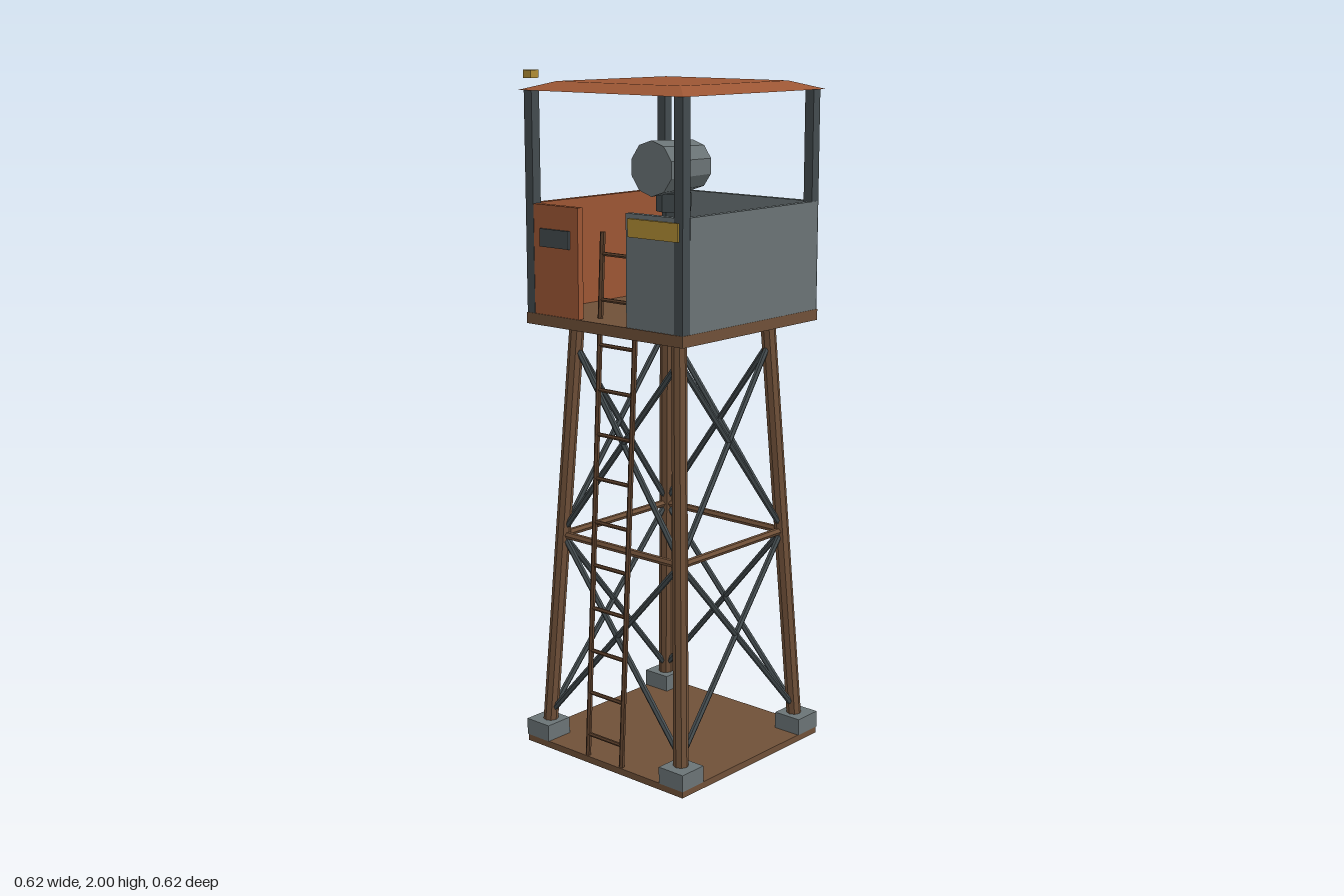
import * as THREE from 'three';

const mat = (name, color) => {
  const m = new THREE.MeshStandardMaterial({ color, flatShading: true });
  m.name = name;
  return m;
};

export function createModel() {
  const root = new THREE.Group();
  root.name = 'watchtower';
  const rust = mat('rust', 0x9c5634);
  const steel = mat('steel grey', 0x6a7375);
  const dark = mat('dark steel', 0x434b4e);
  const wood = mat('brown timber', 0x6f5038);
  const ladderWood = mat('dark brown', 0x5c402c);
  const yellow = mat('yellow', 0xb08d35);

  const group = (name) => {
    const g = new THREE.Group();
    g.name = name;
    root.add(g);
    return g;
  };
  const add = (parent, name, geometry, material) => {
    const m = new THREE.Mesh(geometry, material);
    m.name = name;
    parent.add(m);
    return m;
  };
  // Box given by its minimum and maximum on each axis
  const box = (parent, name, material, [x0, x1], [y0, y1], [z0, z1]) => {
    const m = add(parent, name, new THREE.BoxGeometry(x1 - x0, y1 - y0, z1 - z0), material);
    m.position.set((x0 + x1) / 2, (y0 + y1) / 2, (z0 + z1) / 2);
    return m;
  };
  // Round bar between two points
  const bar = (parent, name, material, a, b, r, sides = 6) => {
    const p = new THREE.Vector3(...a), q = new THREE.Vector3(...b);
    const m = add(parent, name, new THREE.CylinderGeometry(r, r, p.distanceTo(q), sides), material);
    m.position.copy(p).add(q).multiplyScalar(0.5);
    m.quaternion.setFromUnitVectors(new THREE.Vector3(0, 1, 0), q.sub(p).normalize());
    return m;
  };

  // Base slab, footings, legs
  box(root, 'baseSlab', wood, [-0.31, 0.31], [0, 0.02], [-0.31, 0.31]);
  const corners = [[-1, -1], [1, -1], [1, 1], [-1, 1]];
  const legAt = (y) => 0.263 - 0.055 * (y - 0.05);
  const legs = group('legs');
  for (const [sx, sz] of corners) {
    const f = box(legs, 'footing', steel, [-0.045, 0.045], [0.02, 0.07], [-0.045, 0.045]);
    f.position.x = sx * 0.267;
    f.position.z = sz * 0.267;
    const a = legAt(0.03), b = legAt(1.29);
    bar(legs, 'leg', wood, [sx * a, 0.03, sz * a], [sx * b, 1.29, sz * b], 0.022, 8);
  }

  // Middle beams and crossed braces on all four sides
  const frame = group('bracing');
  for (let i = 0; i < 4; i++) {
    const side = new THREE.Group();
    side.name = 'bracedSide';
    side.rotation.y = i * Math.PI / 2;
    frame.add(side);
    const m = legAt(0.65);
    bar(side, 'middleBeam', wood, [-m, 0.65, m], [m, 0.65, m], 0.011);
    for (const [y0, y1] of [[0.09, 0.65], [0.66, 1.22]]) {
      const a = legAt(y0), b = legAt(y1);
      for (const s of [-1, 1]) bar(side, 'brace', dark, [-s * a, y0, a], [s * b, y1, b], 0.009);
    }
  }

  // Leaning ladder through the front opening
  const ladder = group('ladder');
  const ladderZ = (y) => 0.302 - 0.053 * y;
  for (const s of [-1, 1]) {
    bar(ladder, 'ladderRail', ladderWood, [s * 0.067, 0.02, ladderZ(0.02)], [s * 0.067, 1.56, ladderZ(1.56)], 0.008);
  }
  for (let i = 0; i < 12; i++) {
    const y = 0.085 + i * 0.1285;
    bar(ladder, 'rung', ladderWood, [-0.067, y, ladderZ(y)], [0.067, y, ladderZ(y)], 0.006);
  }

  // Cabin floor, posts and walls
  const cabin = group('cabin');
  box(cabin, 'platform', wood, [-0.297, 0.297], [1.285, 1.317], [-0.297, 0.297]);
  for (const [sx, sz] of corners) {
    const p = box(cabin, 'cornerPost', dark, [-0.015, 0.015], [1.317, 1.947], [-0.015, 0.015]);
    p.position.x = sx * 0.28;
    p.position.z = sz * 0.28;
  }
  const wallY = [1.317, 1.63], along = [-0.266, 0.266];
  box(cabin, 'backWall', steel, [-0.29, 0.29], wallY, [-0.296, -0.276]);
  box(cabin, 'rightWall', steel, [0.276, 0.296], wallY, [-0.29, 0.266]);
  box(cabin, 'leftWall', rust, [-0.296, -0.276], wallY, along);
  box(cabin, 'frontPanelRust', rust, [-0.266, -0.092], wallY, [0.274, 0.294]);
  box(cabin, 'frontPanelGrey', steel, [0.09, 0.266], wallY, [0.274, 0.294]);
  box(cabin, 'viewSlot', dark, [-0.235, -0.122], [1.512, 1.563], [0.294, 0.302]);
  box(cabin, 'yellowBand', yellow, [0.103, 0.282], [1.567, 1.617], [0.294, 0.302]);

  // Searchlight on its stand
  const light = group('searchlight');
  const lx = 0.153, lz = 0.17;
  bar(light, 'stand', dark, [lx, 1.317, lz], [lx, 1.65, lz], 0.032, 8);
  bar(light, 'standCap', dark, [lx, 1.63, lz], [lx, 1.68, lz], 0.048, 8);
  const drum = add(light, 'drum', new THREE.CylinderGeometry(0.075, 0.068, 0.17, 10), steel);
  drum.rotation.x = Math.PI / 2;
  drum.position.set(lx, 1.75, 0.175);

  // Bevelled roof
  const roof = add(root, 'roof',
    new THREE.CylinderGeometry(0.23 * Math.SQRT2, 0.306 * Math.SQRT2, 0.024, 4), rust);
  roof.rotation.y = Math.PI / 4;
  roof.position.y = 1.957;

  // Small beacon over the front corner
  box(root, 'beacon', yellow, [-0.298, -0.268], [1.978, 2], [0.263, 0.293]);
  return root;
}
